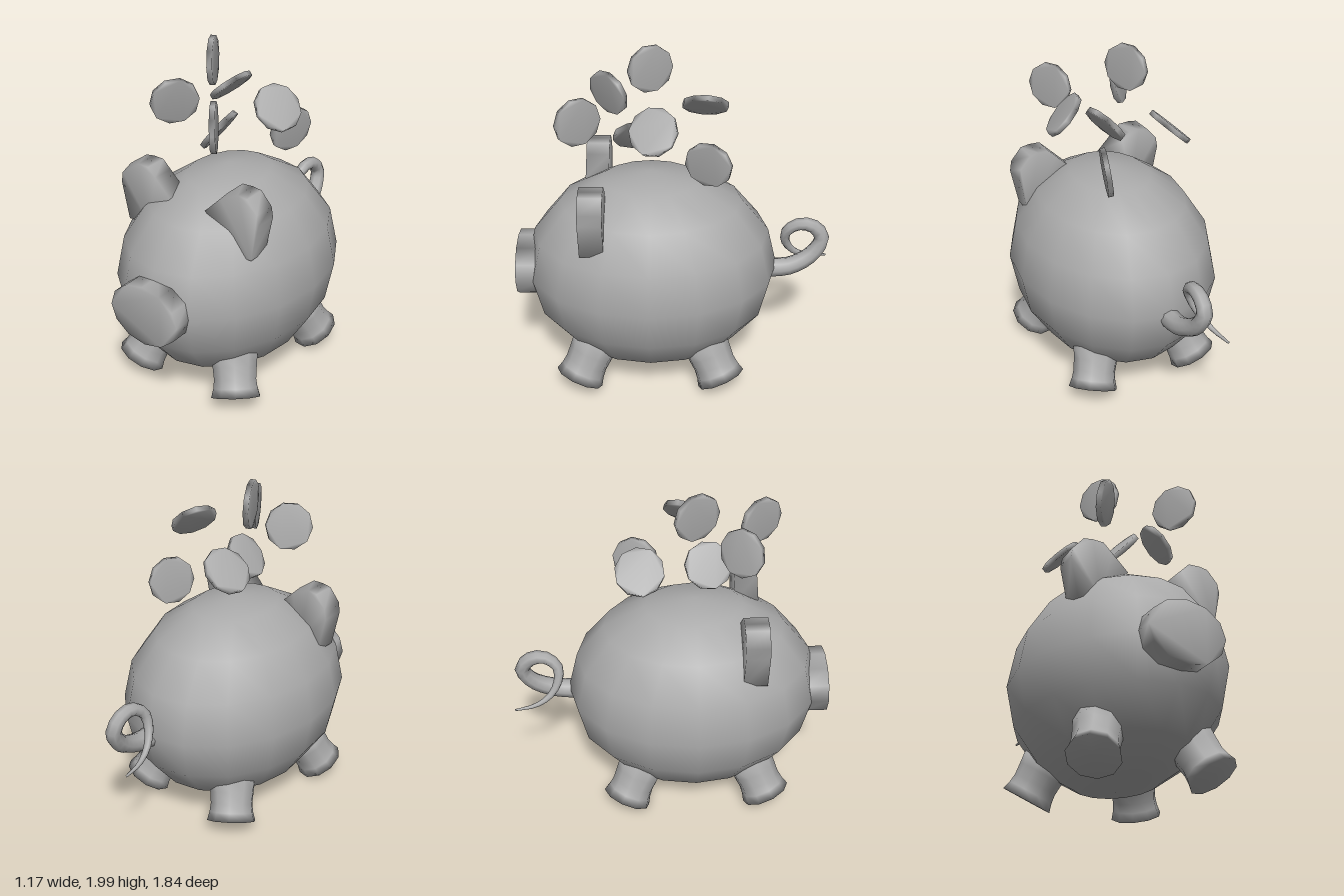
import * as THREE from 'three';
import { mergeVertices } from 'three/addons/utils/BufferGeometryUtils.js';

const V = (x, y, z) => new THREE.Vector3(x, y, z);
const UP = V(0, 1, 0), FRONT = V(0, 0, 1);

// Slab of a given outline along z, centred in depth, with shared (soft) normals
function slab(points, depth) {
  let g = new THREE.ExtrudeGeometry(new THREE.Shape(points), { depth, bevelEnabled: false });
  g.translate(0, 0, -depth / 2);
  g.deleteAttribute('uv');
  g.deleteAttribute('normal');
  g = mergeVertices(g, 1e-4);
  g.computeVertexNormals();
  return g;
}

function polygon(sides, rx, ry) {
  return Array.from({ length: sides }, (_, i) => {
    const a = (i / sides) * Math.PI * 2;
    return new THREE.Vector2(Math.cos(a) * rx, Math.sin(a) * ry);
  });
}

export function createModel() {
  const model = new THREE.Group();
  model.name = 'piggyBank';
  const grey = new THREE.MeshStandardMaterial({ color: 0xaaaaaa });
  grey.name = 'grey';

  function add(name, geometry, x = 0, y = 0, z = 0) {
    const mesh = new THREE.Mesh(geometry, grey);
    mesh.name = name;
    mesh.position.set(x, y, z);
    model.add(mesh);
    return mesh;
  }

  // Body: stretched coarse sphere
  add('body', new THREE.SphereGeometry(1, 16, 8).scale(0.585, 0.615, 0.74), 0, 0.675, 0.135);

  // Snout: flat oval disc
  add('snout', slab(polygon(12, 0.225, 0.18), 0.14), 0, 0.68, 0.85);

  // Legs: waisted stubs splayed outwards, running into the body
  const legProfile = [[0, 0], [0.145, 0], [0.131, 0.05], [0.125, 0.1], [0.131, 0.17], [0.14, 0.26], [0, 0.26]]
    .map(([r, y]) => new THREE.Vector2(r, y));
  const legGeometry = new THREE.LatheGeometry(legProfile, 10);
  for (const sx of [1, -1]) {
    for (const sz of [1, -1]) {
      const name = (sz > 0 ? 'front' : 'back') + (sx > 0 ? 'LeftLeg' : 'RightLeg');
      const leg = add(name, legGeometry, sx * 0.345, 0.08, 0.14 + sz * 0.42);
      leg.quaternion.setFromUnitVectors(UP, V(-sx * 0.38, 1, -sz * 0.47).normalize());
    }
  }

  // Ears: thick rounded flaps, inner part sunk into the body
  const earOutline = [[0.42, 0.97], [0.465, 1.19], [0.455, 1.25], [0.39, 1.325], [0.335, 1.333],
    [0.27, 1.33], [0.22, 1.28], [0.12, 1.18], [0.28, 0.98]];
  for (const s of [1, -1]) {
    const points = earOutline.map(([x, y]) => new THREE.Vector2(s * x, y));
    add(s > 0 ? 'leftEar' : 'rightEar', slab(points, 0.135), 0, 0, 0.4525);
  }

  // Tail: tapering curl
  const tailPath = new THREE.CatmullRomCurve3([
    V(0.01, 0.65, -0.54), V(0.01, 0.665, -0.69), V(-0.01, 0.74, -0.82), V(-0.025, 0.84, -0.87),
    V(-0.03, 0.91, -0.82), V(-0.035, 0.925, -0.74), V(-0.05, 0.87, -0.665), V(-0.075, 0.79, -0.66),
    V(-0.11, 0.7, -0.71), V(-0.14, 0.65, -0.8), V(-0.16, 0.636, -0.92)]);
  const rings = 24, sides = 8;
  const tail = new THREE.TubeGeometry(tailPath, rings, 1, sides, false);
  const pos = tail.attributes.position, p = V(0, 0, 0);
  for (let i = 0; i <= rings; i++) {
    const t = i / rings, centre = tailPath.getPointAt(t);
    const r = t < 0.5 ? 0.06 - 0.04 * t : 0.04 - 0.068 * (t - 0.5);
    for (let j = 0; j <= sides; j++) {
      const k = i * (sides + 1) + j;
      p.fromBufferAttribute(pos, k).sub(centre).multiplyScalar(r).add(centre);
      pos.setXYZ(k, p.x, p.y, p.z);
    }
  }
  add('tail', tail);

  // Coins tumbling above the back: centre, then facing direction
  const coinGeometry = slab(polygon(10, 0.135, 0.135), 0.03);
  const coins = [
    [[-0.105, 1.868, 0.135], [0.88, 0.02, -0.47]],
    [[0.195, 1.43, -0.19], [0.93, -0.13, 0.34]],
    [[0.185, 1.677, 0.52], [0.84, 0.02, -0.54]],
    [[-0.185, 1.69, 0.375], [0.74, -0.2, 0.63]],
    [[-0.012, 1.51, 0.21], [0.77, -0.61, -0.15]],
    [[0.3, 1.677, 0.107], [0.7, 0.64, 0.28]],
    [[-0.21, 1.605, -0.175], [0.67, -0.74, 0.05]],
  ];
  coins.forEach(([centre, facing], i) => {
    const coin = add('coin' + (i + 1), coinGeometry, ...centre);
    coin.quaternion.setFromUnitVectors(FRONT, V(...facing).normalize());
  });

  return model;
}
